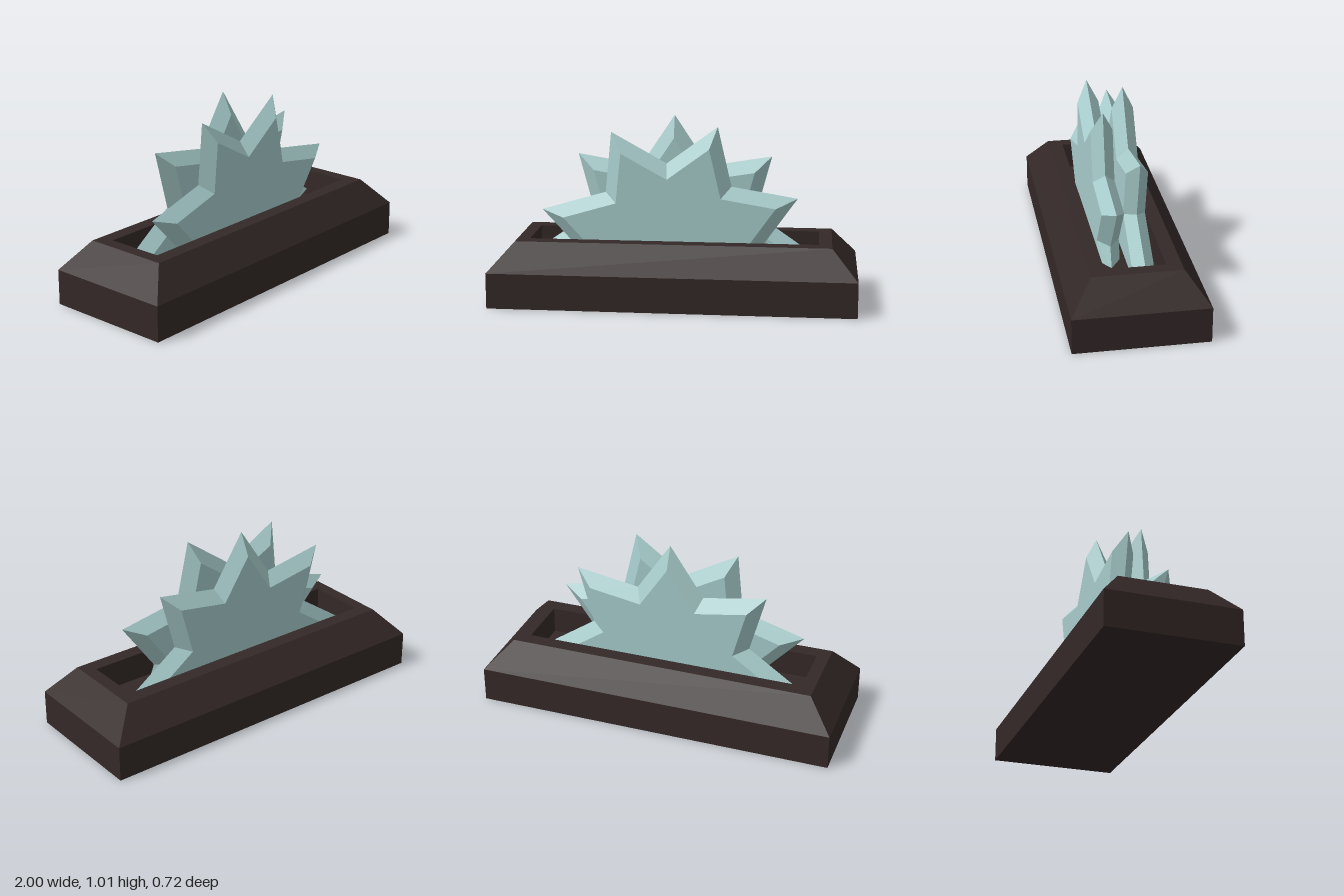
import * as THREE from 'three';

const FLOOR = 0.2;

// Join matching rings of points with flat quads, then close both ends.
function loft(rings, material, name) {
  const pos = [];
  const tri = (a, b, c) => pos.push(...a, ...b, ...c);
  for (let r = 0; r < rings.length - 1; r++) {
    const a = rings[r], b = rings[r + 1], n = a.length;
    for (let i = 0; i < n; i++) {
      const j = (i + 1) % n;
      tri(a[i], a[j], b[j]);
      tri(a[i], b[j], b[i]);
    }
  }
  return { pos, tri, finish() {
    const g = new THREE.BufferGeometry();
    g.setAttribute('position', new THREE.Float32BufferAttribute(pos, 3));
    g.computeVertexNormals();
    const mesh = new THREE.Mesh(g, material);
    mesh.name = name;
    return mesh;
  } };
}

// Block with sloped shoulders and a rectangular recess in its top.
function makeBase(material) {
  const profile = [
    [1, 0, 0.36], [1, 0.195, 0.36], [0.86, 0.35, 0.24],
    [0.79, 0.35, 0.16], [0.79, FLOOR, 0.16],
  ];
  const rings = profile.map(([x, y, z]) =>
    [[x, y, z], [x, y, -z], [-x, y, -z], [-x, y, z]]);
  const base = loft(rings, material, 'base');
  const [p, q] = [rings[0], rings[rings.length - 1]];
  base.tri(p[0], p[2], p[1]);
  base.tri(p[0], p[3], p[2]);
  base.tri(q[0], q[1], q[2]);
  base.tri(q[0], q[2], q[3]);
  return base.finish();
}

// Upper half of an eight-pointed star blade with edges bevelled to a ridge.
function makeBlade({ name, z, startTip, tips, firstValley, footRight, footLeft }, material) {
  const cx = -0.015;
  const polar = (deg, r, cy) => {
    const a = THREE.MathUtils.degToRad(deg);
    return [cx + r * Math.cos(a), cy + r * Math.sin(a)];
  };
  const valley = (deg) => polar(deg, 0.49, 0.277);
  const outline = [[footRight, FLOOR - 0.01]];
  if (firstValley) outline.push(valley(startTip - 22.5));
  for (let k = 0; k < tips; k++) {
    const deg = startTip + 45 * k;
    outline.push(polar(deg, 0.762, 0.25));
    if (k < tips - 1 || firstValley) outline.push(valley(deg + 22.5));
  }
  outline.push([footLeft, FLOOR - 0.01]);

  // Flat faces are a shrunken copy of the ridge outline.
  const face = outline.map(([x, y]) =>
    [cx + (x - cx) * 0.828, y < FLOOR ? y : 0.3 + (y - 0.3) * 0.828]);
  const at = (pts, d) => pts.map(([x, y]) => [x, y, d]);
  const back = at(face, z - 0.059), front = at(face, z + 0.059);
  const blade = loft([back, at(outline, z), front], material, name);
  const faces = THREE.ShapeUtils.triangulateShape(
    face.map(([x, y]) => new THREE.Vector2(x, y)), []);
  for (const [a, b, c] of faces) {
    blade.tri(front[a], front[b], front[c]);
    blade.tri(back[a], back[c], back[b]);
  }
  return blade.finish();
}

export function createModel() {
  const darkBrown = new THREE.MeshStandardMaterial({ color: 0x332827 });
  darkBrown.name = 'darkBrown';
  const paleSteel = new THREE.MeshStandardMaterial({ color: 0xa6cbca });
  paleSteel.name = 'paleSteel';

  const group = new THREE.Group();
  group.name = 'spikedBladeTrap';
  group.add(
    makeBase(darkBrown),
    makeBlade({ name: 'frontBlade', z: 0.076, startTip: 26, tips: 4,
      firstValley: true, footRight: 0.52, footLeft: -0.53 }, paleSteel),
    makeBlade({ name: 'backBlade', z: -0.071, startTip: 0, tips: 5,
      firstValley: false, footRight: 0.63, footLeft: -0.66 }, paleSteel),
  );
  return group;
}
